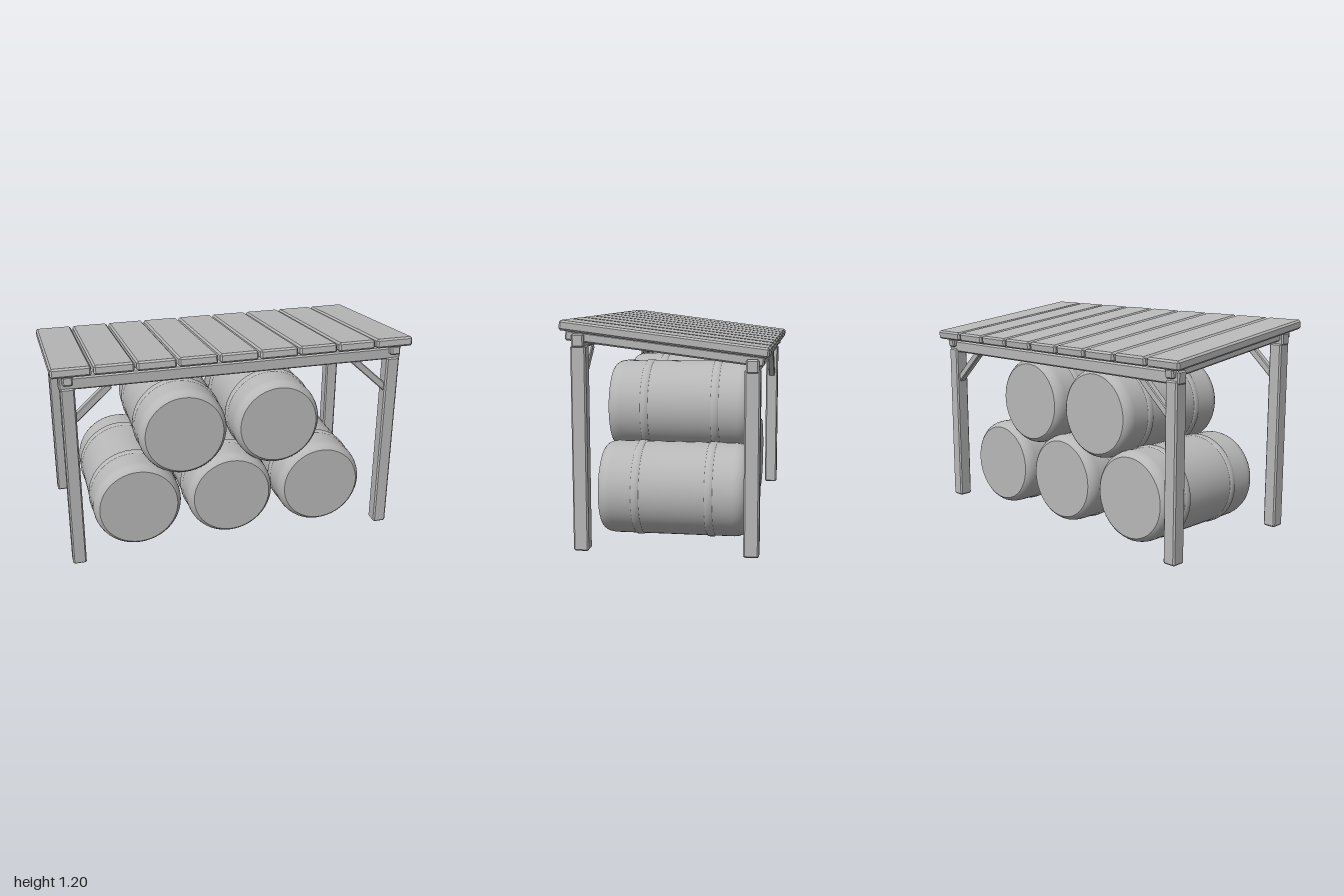
import * as THREE from 'three';
import { ConvexGeometry } from 'three/addons/geometries/ConvexGeometry.js';

const grey = new THREE.MeshStandardMaterial({ color: 0xb8b8b8 });
grey.name = 'plain grey';

// Box with chamfered edges: hull of three points around every corner
function chamferBox(w, h, d, c = 0.008) {
  const pts = [];
  for (const sx of [-1, 1]) for (const sy of [-1, 1]) for (const sz of [-1, 1]) {
    const x = w / 2, y = h / 2, z = d / 2;
    pts.push(new THREE.Vector3(sx * x, sy * (y - c), sz * (z - c)));
    pts.push(new THREE.Vector3(sx * (x - c), sy * y, sz * (z - c)));
    pts.push(new THREE.Vector3(sx * (x - c), sy * (y - c), sz * z));
  }
  return new ConvexGeometry(pts);
}

function add(parent, name, geometry, x = 0, y = 0, z = 0) {
  const mesh = new THREE.Mesh(geometry, grey);
  mesh.name = name;
  mesh.position.set(x, y, z);
  parent.add(mesh);
  return mesh;
}

// Barrel lying along z, with rounded shoulders, flat ends and two hoops
function makeBarrel() {
  const barrel = new THREE.Group();
  barrel.name = 'barrel';
  const shoulder = [[0.226, 0.394], [0.237, 0.385], [0.247, 0.37], [0.253, 0.352], [0.256, 0.33]];
  const profile = [
    ...shoulder.map(([r, z]) => new THREE.Vector2(r, -z)),
    ...shoulder.slice().reverse().map(([r, z]) => new THREE.Vector2(r, z)),
  ];
  add(barrel, 'barrelBody', new THREE.LatheGeometry(profile, 48).rotateX(Math.PI / 2));
  add(barrel, 'barrelFrontEnd', new THREE.CircleGeometry(0.226, 48), 0, 0, 0.394);
  add(barrel, 'barrelBackEnd', new THREE.CircleGeometry(0.226, 48).rotateY(Math.PI), 0, 0, -0.394);
  const hoop = [[0.254, -0.023], [0.261, -0.016], [0.262, 0], [0.261, 0.016], [0.254, 0.023]]
    .map(([r, z]) => new THREE.Vector2(r, z));
  for (const z of [0.19, -0.203])
    add(barrel, 'barrelHoop', new THREE.LatheGeometry(hoop, 48).rotateX(Math.PI / 2), 0, 0, z);
  return barrel;
}

export function createModel() {
  const model = new THREE.Group();
  model.name = 'barrelShelter';

  // Sloping roof: nine planks on two rafters
  const slope = 0.125;
  const roof = new THREE.Group();
  roof.name = 'roof';
  roof.position.y = 1.11;
  roof.rotation.x = -slope;
  model.add(roof);
  const plank = chamferBox(0.212, 0.052, 1.062, 0.01);
  for (let i = 0; i < 9; i++) add(roof, 'roofPlank', plank, (i - 4) * 0.2235);
  const rafter = chamferBox(0.055, 0.052, 1.018);
  for (const side of [-1, 1]) add(roof, 'rafter', rafter, side * 0.912, -0.051, 0);

  // Front and back frames: beam, posts and diagonal braces
  const frames = [
    { label: 'front', z: 0.443, postTop: 1.07, beamY: 1.095, braceY: 0.87 },
    { label: 'back', z: -0.442, postTop: 0.96, beamY: 0.975, braceY: 0.757 },
  ];
  for (const f of frames) {
    add(model, f.label + 'Beam', chamferBox(1.915, 0.07, 0.065), 0, f.beamY, f.z);
    const post = chamferBox(0.076, f.postTop, 0.08);
    const brace = chamferBox(0.28, 0.04, 0.04, 0.005);
    for (const side of [-1, 1]) {
      add(model, f.label + 'Post', post, side * 0.913, f.postTop / 2, f.z);
      const b = add(model, f.label + 'Brace', brace, side * 0.795, f.braceY + 0.095, f.z);
      b.rotation.z = -side * 0.74;
    }
  }

  // Stack of five barrels
  const barrel = makeBarrel();
  for (const [x, y] of [[-0.55, 0.264], [0, 0.264], [0.55, 0.264], [-0.276, 0.69], [0.276, 0.69]]) {
    const b = barrel.clone();
    b.position.set(x, y, 0);
    model.add(b);
  }
  return model;
}
